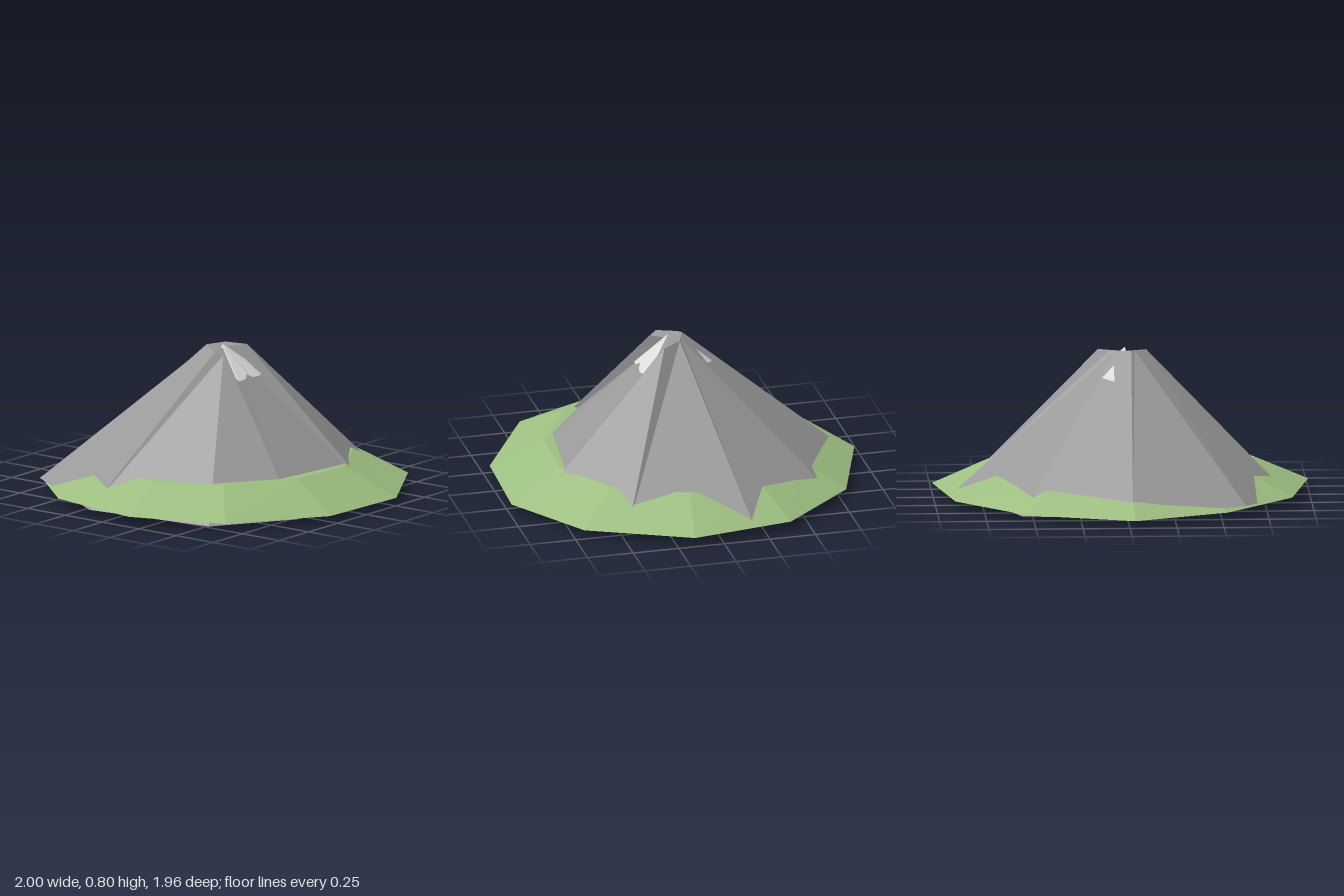
import * as THREE from 'three';

// Ring points are [x, y, z], listed back -> +x -> front -> -x.
function skirt(lower, upper) {
  const tris = [];
  lower.forEach((a, i) => {
    const j = (i + 1) % lower.length;
    tris.push(a, upper[i], lower[j], lower[j], upper[i], upper[j]);
  });
  return tris;
}

function cap(ring, centre, up) {
  const tris = [];
  ring.forEach((a, i) => {
    const b = ring[(i + 1) % ring.length];
    tris.push(centre, ...(up ? [b, a] : [a, b]));
  });
  return tris;
}

function facets(name, points, material) {
  const geometry = new THREE.BufferGeometry();
  geometry.setAttribute('position', new THREE.Float32BufferAttribute(points.flat(), 3));
  geometry.computeVertexNormals();
  const mesh = new THREE.Mesh(geometry, material);
  mesh.name = name;
  return mesh;
}

export function createModel() {
  const grass = new THREE.MeshStandardMaterial({ color: 0x9dbe80 });
  grass.name = 'grass';
  const rock = new THREE.MeshStandardMaterial({ color: 0x999999 });
  rock.name = 'rock';
  const snow = new THREE.MeshStandardMaterial({ color: 0xdcdcdc });
  snow.name = 'snow';
  const group = new THREE.Group();
  group.name = 'mountain';

  // Grassy mound: uneven eleven-sided rim, sloping in to a flat top
  const rim = [
    [-0.03, 0.035, -0.98], [0.53, 0.037, -0.79], [0.9, 0.045, -0.39], [1, 0.05, 0.16],
    [0.74, 0.045, 0.7], [0.28, 0.035, 0.98], [-0.26, 0.035, 0.96], [-0.78, 0.045, 0.66],
    [-1, 0.055, 0.18], [-0.89, 0.05, -0.38], [-0.53, 0.042, -0.78],
  ];
  const shoulder = rim.map(([x, , z]) => [x * 0.71, 0.185, z * 0.71]);
  group.add(facets('grassMound', [
    ...skirt(rim, shoulder),
    ...cap(shoulder, [0, 0.185, 0], true),
    ...cap(rim, [0, 0.038, 0], false),
  ], grass));

  // Rocky peak: nine ridges from a jagged foot up to a small dented summit
  const foot = [
    [-0.02, 0.04, -0.92], [0.56, 0.02, -0.72], [0.89, 0.07, -0.18], [0.74, 0.07, 0.45],
    [0.27, 0.045, 0.82], [-0.33, 0.005, 0.79], [-0.73, 0, 0.51], [-0.89, 0.02, -0.17],
    [-0.63, 0.065, -0.71],
  ];
  const summit = [
    [-0.05, 0.785, -0.04], [0.03, 0.785, -0.01], [0.06, 0.785, 0], [0.12, 0.775, 0.1],
    [0.03, 0.775, 0.05], [-0.03, 0.77, 0.05], [-0.11, 0.76, 0.12], [-0.135, 0.775, 0.08],
    [-0.07, 0.785, -0.02],
  ];
  group.add(facets('rockPeak', [
    ...skirt(foot, summit),
    ...cap(summit, [-0.02, 0.775, 0.03], true),
    ...cap(foot, [0, 0.03, 0], false),
  ], rock));

  // Snow cap: a fan of facets with a ragged hem, showing on the front
  const apex = [-0.02, 0.795, 0.045];
  const hem = [
    [0.14, 0.635, 0.198], [0.07, 0.63, 0.222], [0.02, 0.63, 0.215], [-0.01, 0.65, 0.2],
    [-0.04, 0.63, 0.215], [-0.09, 0.625, 0.212],
  ];
  const cover = [];
  for (let i = 0; i < hem.length - 1; i++) cover.push(apex, hem[i + 1], hem[i]);
  // short back faces close the tip
  cover.push(apex, hem[0], [-0.02, 0.7, -0.02], apex, [-0.02, 0.7, -0.02], hem[5]);
  group.add(facets('snowCap', cover, snow));

  // Snow patch lying on the back facet
  const onFacet = (u, v) => {
    const lerp = (a, b, t) => a.map((n, k) => n + (b[k] - n) * t);
    const p = lerp(lerp(summit[0], summit[1], u), lerp(foot[0], foot[1], u), v);
    return [p[0] + 0.003, p[1] + 0.005, p[2] - 0.004];
  };
  group.add(facets('snowPatch', [onFacet(0.5, 0.19), onFacet(0.7, 0.09), onFacet(0.92, 0.17)], snow));

  return group;
}
